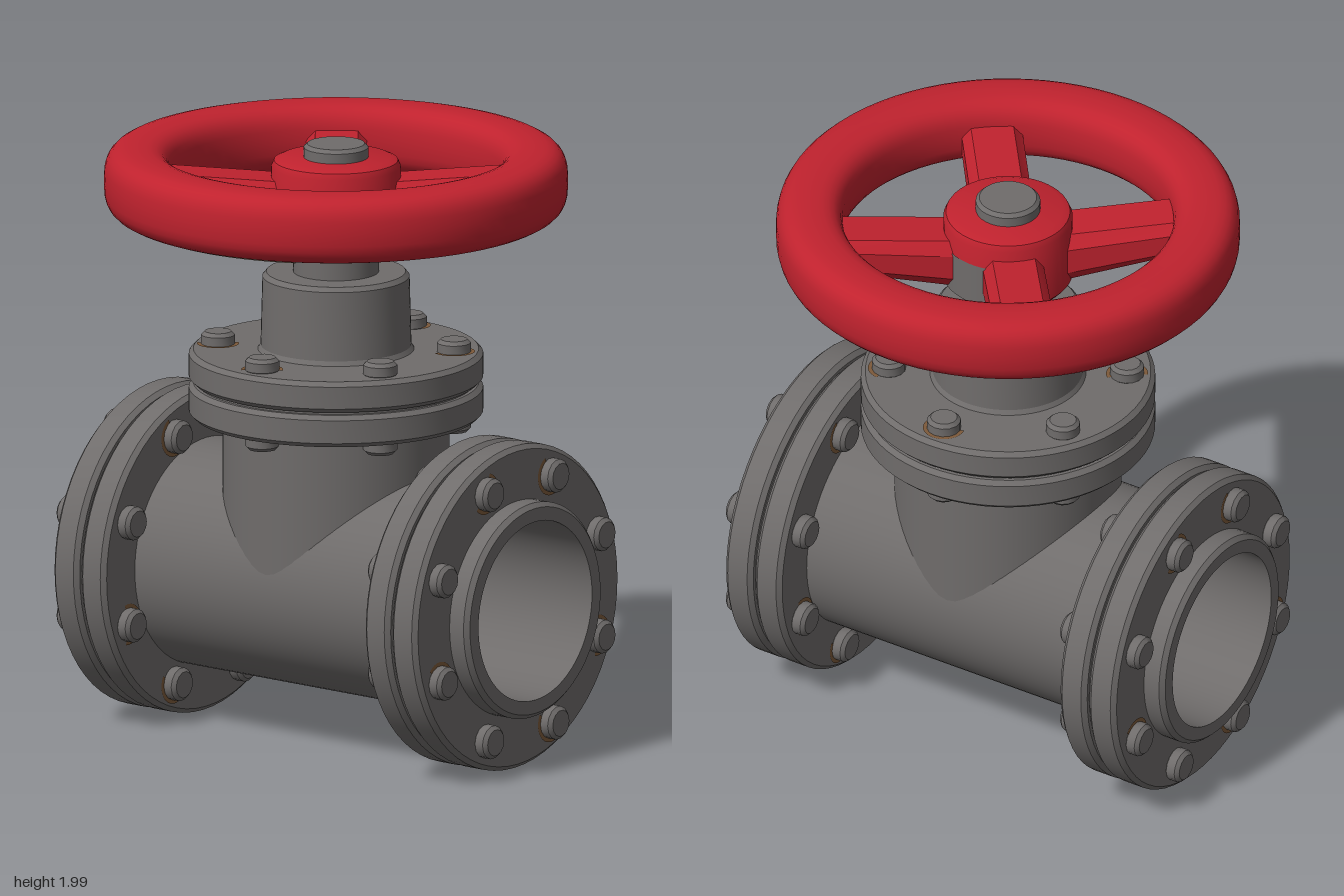
import * as THREE from 'three';
import { toCreasedNormals } from 'three/addons/utils/BufferGeometryUtils.js';

const material = (name, color, side = THREE.FrontSide) => {
  const m = new THREE.MeshStandardMaterial({ color, side });
  m.name = name;
  return m;
};

export function createModel() {
  const model = new THREE.Group();
  model.name = 'gateValve';
  const iron = material('cast iron grey', 0x6f6c6b);
  const red = material('red paint', 0xc0222e);
  const rust = material('rust brown', 0x7d5a3a, THREE.DoubleSide);
  const worn = material('worn brown', 0x4f4538, THREE.DoubleSide);

  const add = (name, geometry, mat, parent = model) => {
    const mesh = new THREE.Mesh(geometry, mat);
    mesh.name = name;
    parent.add(mesh);
    return mesh;
  };
  // Profile points are [radius, height], anticlockwise
  const lathe = (points, segments = 64) => toCreasedNormals(
    new THREE.LatheGeometry(points.map(([r, y]) => new THREE.Vector2(r, y)), segments), 0.5);
  // Solid disc with bevelled edges
  const disc = (r, y0, y1, b, segments = 64) => lathe(
    [[0, y0], [r - b, y0], [r, y0 + b], [r, y1 - b], [r - b, y1], [0, y1]], segments);
  // Bevelled ring with a hole
  const ring = (r, hole, y0, y1, b) => lathe(
    [[hole, y0], [r - b, y0], [r, y0 + b], [r, y1 - b], [r - b, y1], [hole, y1], [hole, y0]]);

  // Bolt heads standing on +y, with a partial rust stain below each
  const boltHead = disc(0.056, -0.01, 0.045, 0.012, 14);
  const stain = new THREE.RingGeometry(0.054, 0.069, 16, 1, 0.4, 3.6).rotateX(-Math.PI / 2);
  const boltCircle = (name, count, radius, y, up, start) => {
    const group = new THREE.Group();
    group.name = name;
    for (let i = 0; i < count; i++) {
      const a = start + (i * Math.PI * 2) / count;
      const bolt = new THREE.Group();
      bolt.name = 'bolt';
      bolt.position.set(radius * Math.sin(a), y, radius * Math.cos(a));
      if (!up) bolt.rotation.x = Math.PI;
      add('boltHead', boltHead, iron, bolt);
      if (i % 3 !== 1) {
        const mark = add('rustStain', stain, rust, bolt);
        mark.position.y = 0.003;
        mark.rotation.y = i * 1.9;
      }
      group.add(bolt);
    }
    return group;
  };

  // Horizontal pipe assembly, built along y and then laid along x
  const pipe = new THREE.Group();
  pipe.name = 'pipe';
  pipe.position.y = 0.55;
  pipe.rotation.z = -Math.PI / 2;
  model.add(pipe);
  add('pipeBody', lathe([
    [0.3, -0.83], [0.345, -0.83], [0.36, -0.815], [0.36, -0.6], [0.378, -0.6],
    [0.378, 0.6], [0.36, 0.6], [0.36, 0.815], [0.345, 0.83], [0.3, 0.83], [0.3, -0.83],
  ], 72), iron, pipe);
  for (const s of [-1, 1]) {
    const end = new THREE.Group();
    end.name = s > 0 ? 'leftFlange' : 'rightFlange';
    if (s < 0) end.rotation.x = Math.PI;
    add('innerFlange', ring(0.542, 0.34, 0.54, 0.643, 0.015), iron, end);
    add('gasket', ring(0.515, 0.34, 0.63, 0.665, 0.001), iron, end);
    add('outerFlange', ring(0.542, 0.34, 0.652, 0.757, 0.015), iron, end);
    end.add(boltCircle('outerBolts', 8, 0.45, 0.757, true, Math.PI / 8));
    end.add(boltCircle('innerBolts', 8, 0.45, 0.54, false, Math.PI / 8));
    pipe.add(end);
  }

  // Vertical neck, its lower edge cut to fit the pipe
  const neck = new THREE.CylinderGeometry(0.372, 0.372, 1, 72, 1, true);
  const np = neck.attributes.position;
  for (let i = 0; i < np.count; i++) {
    const z = np.getZ(i);
    np.setY(i, np.getY(i) > 0 ? 1.1 : 0.545 + Math.sqrt(Math.max(0, 0.376 ** 2 - z * z)));
  }
  add('neck', neck, iron);

  // Bonnet flanges, bonnet and stem
  add('lowerBonnetFlange', disc(0.482, 1.09, 1.197, 0.015), iron);
  add('bonnetGasket', disc(0.455, 1.18, 1.22, 0.001), iron);
  add('upperBonnetFlange', disc(0.482, 1.206, 1.31, 0.015), iron);
  model.add(boltCircle('upperBonnetBolts', 6, 0.39, 1.31, true, 0));
  model.add(boltCircle('lowerBonnetBolts', 6, 0.39, 1.09, false, 0));
  add('bonnet', lathe([[0, 1.3], [0.262, 1.3], [0.247, 1.325], [0.241, 1.555],
    [0.228, 1.57], [0, 1.57]]), iron);
  add('stem', disc(0.14, 1.55, 1.72, 0.005, 40), iron);
  add('stemTip', disc(0.106, 1.9, 2, 0.012, 32), iron);

  // Handwheel rim with a rounded, boxy section
  const wheel = new THREE.Group();
  wheel.name = 'handwheel';
  model.add(wheel);
  const boxy = (v) => Math.sign(v) * Math.abs(v) ** 0.68;
  const section = [];
  for (let i = 0; i <= 28; i++) {
    const a = (i / 28) * Math.PI * 2;
    section.push([0.65 + 0.11 * boxy(Math.cos(a)), 1.875 + 0.114 * boxy(Math.sin(a))]);
  }
  add('rim', lathe(section, 80), red, wheel);
  add('hub', lathe([[0, 1.69], [0.2, 1.69], [0.212, 1.705], [0.212, 1.925],
    [0.203, 1.945], [0.18, 1.955], [0, 1.955]], 48), red, wheel);

  // Four bevelled spokes, deeper at the hub than at the rim
  const w = 0.1, b = 0.03;
  const outline = new THREE.Shape([[-w + b, 0], [w - b, 0], [w, 0.25], [w, 0.75],
    [w - b, 1], [-w + b, 1], [-w, 0.75], [-w, 0.25]].map(([x, y]) => new THREE.Vector2(x, y)));
  const spoke = new THREE.ExtrudeGeometry(outline, { depth: 0.44, bevelEnabled: false });
  const sp = spoke.attributes.position;
  for (let i = 0; i < sp.count; i++) {
    const t = sp.getZ(i) / 0.44;
    const low = 1.705 + 0.09 * t, high = 1.885 + 0.03 * t;
    sp.setY(i, low + (high - low) * sp.getY(i));
    sp.setZ(i, 0.16 + 0.44 * t);
  }
  const spokeGeometry = toCreasedNormals(spoke, 0.5);
  for (let i = 0; i < 4; i++) {
    add('spoke', spokeGeometry, red, wheel).rotation.y =
      THREE.MathUtils.degToRad(128 + 90 * i);
  }

  // Bare metal on the back of the hub
  add('hubWear', new THREE.CylinderGeometry(0.215, 0.215, 0.15, 16, 1, true,
    THREE.MathUtils.degToRad(140), THREE.MathUtils.degToRad(58)), iron, wheel).position.y = 1.78;
  // Worn crescents under the rim
  for (const start of [0, Math.PI]) {
    const crescent = new THREE.RingGeometry(0.612, 0.685, 24, 1,
      start + THREE.MathUtils.degToRad(55), THREE.MathUtils.degToRad(62));
    crescent.rotateX(-Math.PI / 2);
    add('rimWear', crescent, worn, wheel).position.y = 1.759;
  }
  return model;
}
